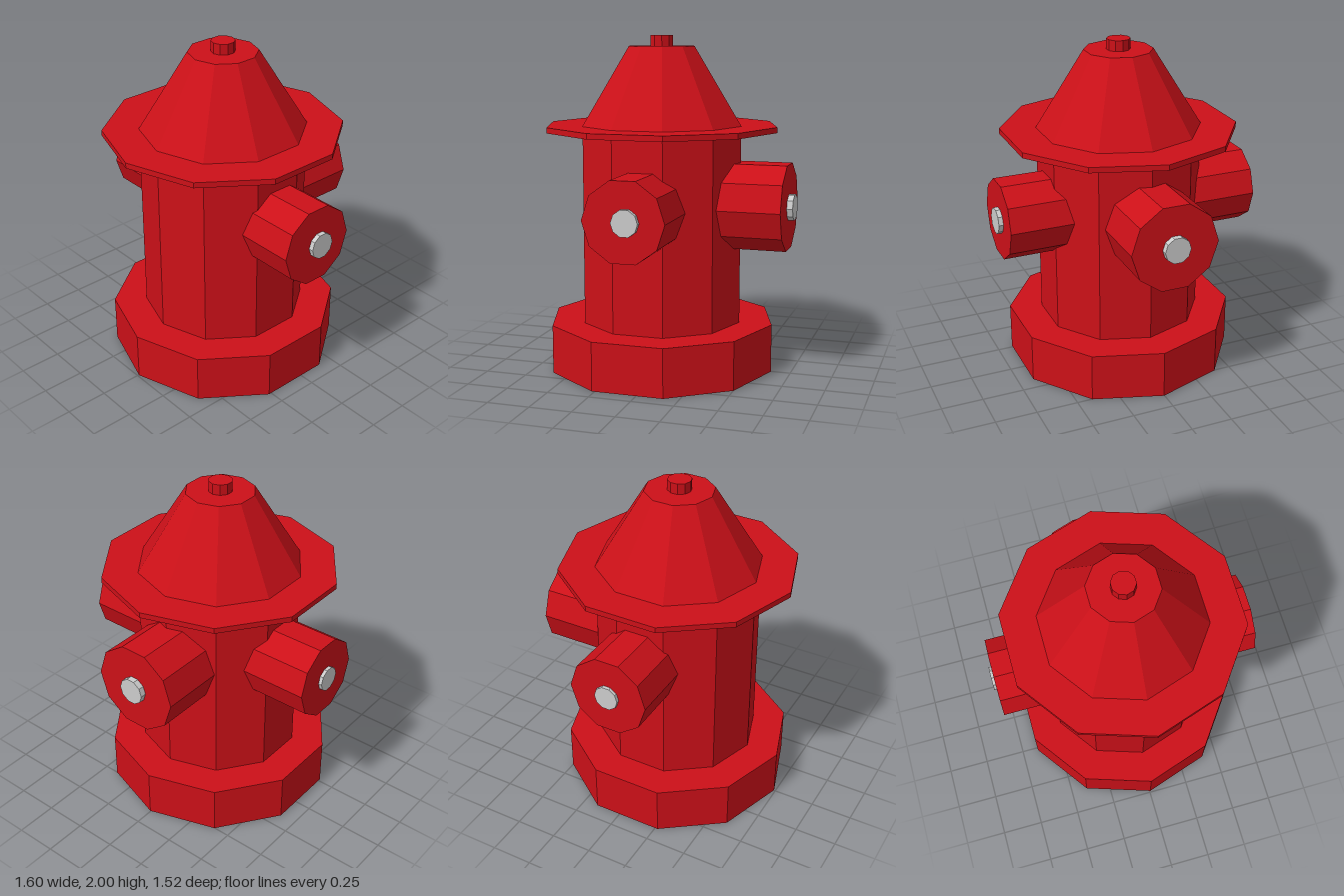
import * as THREE from 'three';

const SIDES = 10;
const red = new THREE.MeshStandardMaterial({ color: 0xcc1018, flatShading: true });
const grey = new THREE.MeshStandardMaterial({ color: 0xcccccc, flatShading: true });

// Ten-sided drum or frustum running from y0 to y1 along its own axis
function drum(name, rBottom, rTop, y0, y1, material = red) {
  const geometry = new THREE.CylinderGeometry(rTop, rBottom, y1 - y0, SIDES);
  geometry.translate(0, (y0 + y1) / 2, 0);
  const mesh = new THREE.Mesh(geometry, material);
  mesh.name = name;
  return mesh;
}

// Capped outlet with a grey bolt, built pointing up with corners on local z
function outlet(name, radius, start, end, boltRadius, boltEnd, boltShift = 0) {
  const group = new THREE.Group();
  group.name = name;
  const bolt = drum(name + 'Bolt', boltRadius, boltRadius, end - 0.03, boltEnd, grey);
  bolt.position.z = boltShift;
  group.add(drum(name + 'Cap', radius, radius, start, end), bolt);
  return group;
}

export function createModel() {
  const model = new THREE.Group();
  model.name = 'fireHydrant';

  // Upright stack: base, barrel, flange, bonnet and operating nut
  const column = new THREE.Group();
  column.name = 'column';
  column.position.set(0.004, 0, 0.054);
  column.add(
    drum('base', 0.687, 0.687, 0, 0.29),
    drum('barrel', 0.488, 0.488, 0.28, 1.45),
    drum('flange', 0.703, 0.703, 1.44, 1.473),
    drum('bonnet', 0.49, 0.203, 1.473, 1.937),
    drum('topNut', 0.07, 0.07, 1.92, 2)
  );
  model.add(column);

  // Side outlets
  const left = outlet('leftOutlet', 0.24, 0.2, 0.77, 0.078, 0.797, -0.017);
  left.rotation.z = -Math.PI / 2;
  left.position.set(0, 1.007, 0.033);
  const right = outlet('rightOutlet', 0.24, 0.2, 0.783, 0.073, 0.803);
  right.rotation.z = Math.PI / 2;
  right.position.set(0, 1.007, 0.033);

  // Larger back outlet, turned so its corners lie left and right
  const back = outlet('backOutlet', 0.265, 0.15, 0.725, 0.079, 0.76);
  back.rotation.x = -Math.PI / 2;
  back.rotateY(Math.PI / 2);
  back.position.set(-0.008, 1.007, 0);

  model.add(left, right, back);
  return model;
}
